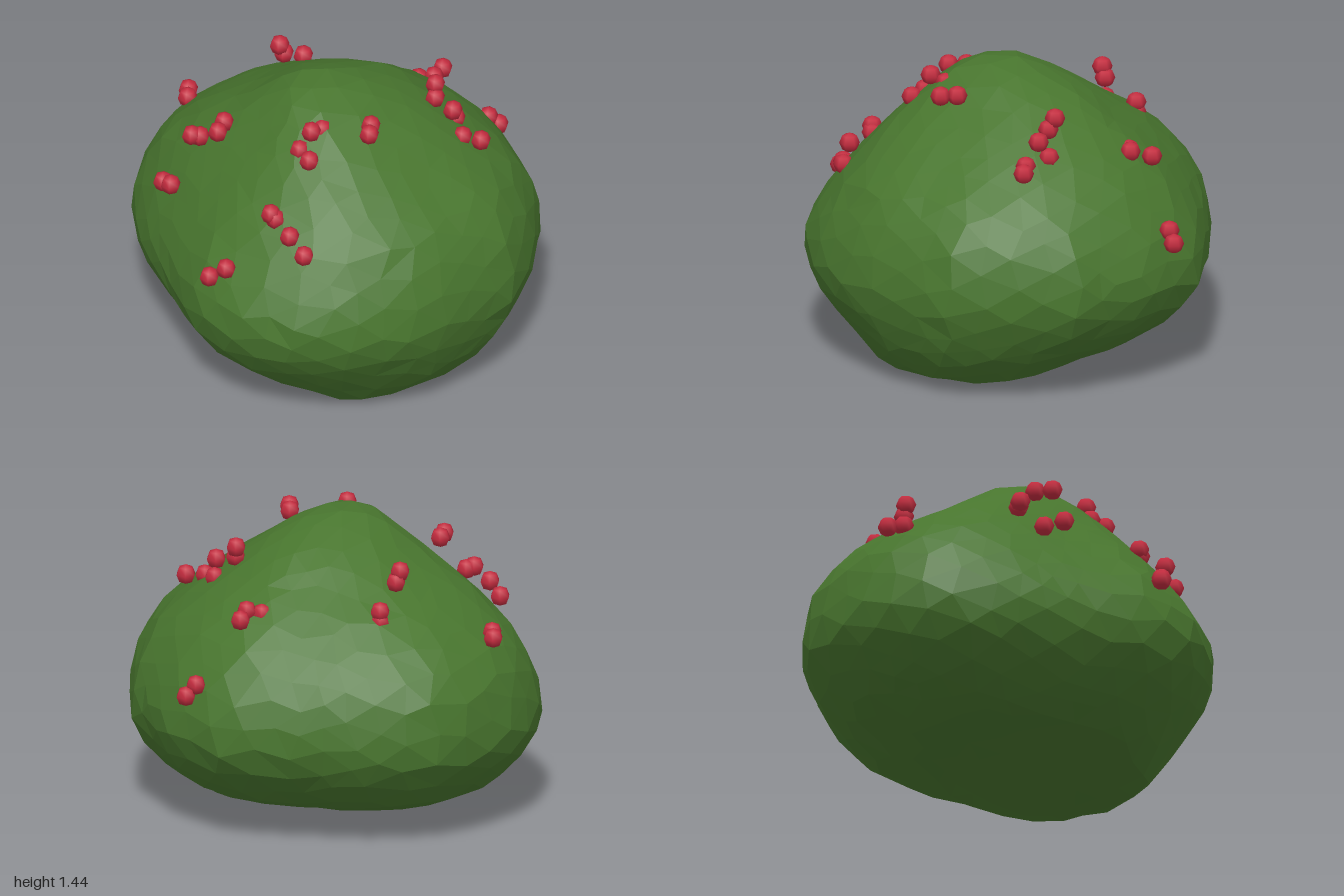
import * as THREE from 'three';

const { lerp, smoothstep, clamp } = THREE.MathUtils;

// Body levels from bottom to top: y, xMin, xMax, zMin, zMax
const LEVELS = [
  [0.08, -0.07, -0.07, 0.08, 0.08],
  [0.085, -0.63, 0.46, -0.56, 0.74],
  [0.2, -0.8, 0.725, -0.8, 0.89],
  [0.35, -0.93, 0.9, -0.935, 0.96],
  [0.48, -0.975, 0.975, -1, 1],
  [0.6, -0.975, 0.985, -0.99, 1],
  [0.77, -0.885, 0.925, -0.96, 0.955],
  [0.93, -0.76, 0.815, -0.85, 0.86],
  [1.08, -0.62, 0.67, -0.66, 0.67],
  [1.2, -0.51, 0.5, -0.46, 0.51],
  [1.3, -0.41, 0.37, -0.31, 0.36],
  [1.38, -0.32, 0.18, -0.2, 0.25],
  [1.428, -0.24, 0.05, -0.11, 0.15],
  [1.45, -0.05, -0.05, 0, 0],
];

// Plan outline as x, z corners, from +x towards +z
const PLAN = [
  [0.97, 0.05], [0.9, 0.37], [0.68, 0.71], [0.38, 0.91], [0.12, 0.995], [-0.3, 0.94], [-0.52, 0.86],
  [-0.76, 0.68], [-0.9, 0.47], [-0.98, 0.24], [-0.97, -0.03], [-0.75, -0.43], [-0.61, -0.68],
  [-0.47, -0.85], [-0.25, -0.975], [0.02, -1], [0.3, -0.945], [0.47, -0.86], [0.59, -0.74],
  [0.7, -0.58], [0.84, -0.3], [0.96, -0.02],
];

// Berry centres
const BERRIES = [
  [0.365, 1.305, 0.33], [0.34, 1.25, 0.35], [0.345, 1.22, 0.455], [0.39, 1.145, 0.435], [0.32, 1.12, 0.535], [0.355, 1.115, 0.62],
  [0.6, 1.095, 0.03], [0.64, 1.11, 0.09], [0.74, 1.095, 0.06],
  [0.91, 0.795, 0.2], [0.95, 0.745, 0.23],
  [-0.95, 0.755, 0.04], [-0.9, 0.8, 0.1],
  [-0.69, 1.045, 0.2], [-0.68, 1.02, 0.22],
  [-0.73, 1.0, 0.35], [-0.72, 0.92, 0.43],
  [-0.43, 1.26, 0.16], [-0.455, 1.245, 0.24], [-0.38, 1.35, 0.19], [-0.3, 1.325, 0.19],
  [-0.21, 1.34, 0.405], [-0.145, 1.34, 0.36],
  [-0.53, 1.235, -0.26], [-0.45, 1.24, -0.29],
  [-0.49, 1.115, -0.455], [-0.46, 1.105, -0.43],
  [0.18, 1.28, -0.475], [0.2, 1.23, -0.465],
  [0.36, 1.13, -0.48], [0.36, 1.08, -0.48],
  [-0.08, 0.97, -0.825], [-0.02, 0.965, -0.87],
  [-0.66, 0.925, -0.49], [-0.71, 0.97, -0.4],
];

// Arc length up the average profile, scaled to 0..1
function profileLengths() {
  const s = [0];
  const radius = (l) => (l[2] - l[1] + l[4] - l[3]) / 4;
  for (let i = 1; i < LEVELS.length; i++) {
    const a = LEVELS[i - 1], b = LEVELS[i];
    s.push(s[i - 1] + Math.hypot(b[0] - a[0], radius(b) - radius(a)));
  }
  return s.map((v) => v / s[s.length - 1]);
}

// Distance from the centre to the plan outline in direction c, s
function planRadius(c, s) {
  for (let i = 0; i < PLAN.length; i++) {
    const a = PLAN[i], b = PLAN[(i + 1) % PLAN.length];
    if (a[0] * s - a[1] * c >= 0 && c * b[1] - s * b[0] > 0) {
      return (a[0] * b[1] - a[1] * b[0]) / (c * (b[1] - a[1]) - s * (b[0] - a[0]));
    }
  }
  return 1;
}

// How far each corner of the plan swells (or shrinks) at height h
function cornerSwell(c, s, h) {
  const upper = s > 0 ? (c > 0 ? 0.03 : 0.06) : (c > 0 ? -0.02 : 0.07);
  const lower = s > 0 && c < 0 ? -0.05 : 0;
  const amount = upper * smoothstep(h, 0.8, 1.15) + lower * (1 - smoothstep(h, 0.1, 0.5));
  return 1 + amount * (2 * s * c) ** 2;
}

// The underside sags to the ground in a broad lump near the front
function sag(x, z, h) {
  const dx = (x - clamp(x, -0.42, 0.12)) / 0.38;
  const dz = (z - 0.47) / 0.55;
  return 0.084 * Math.max(0, 1 - Math.hypot(dx, dz)) * (1 - smoothstep(h, 0.085, 0.25));
}

// Faceted sphere reshaped to the levels and plan outline
function bodyGeometry() {
  const geo = new THREE.IcosahedronGeometry(1, 6);
  const pos = geo.attributes.position;
  const lengths = profileLengths();
  const d = new THREE.Vector3();
  for (let v = 0; v < pos.count; v++) {
    d.fromBufferAttribute(pos, v);
    // slight irregularity of the facets
    const { x, y, z } = d;
    d.x += 0.03 * Math.sin(17 * y + 9 * z);
    d.y += 0.03 * Math.sin(15 * z + 11 * x);
    d.z += 0.03 * Math.sin(16 * x + 10 * y);
    d.normalize();

    const u = Math.acos(clamp(-d.y, -1, 1)) / Math.PI;
    let i = 0;
    while (i < lengths.length - 2 && lengths[i + 1] < u) i++;
    const f = (u - lengths[i]) / (lengths[i + 1] - lengths[i]);
    const [h, x0, x1, z0, z1] = LEVELS[i].map((a, k) => lerp(a, LEVELS[i + 1][k], f));

    const angle = Math.atan2(d.z, d.x);
    const c = Math.cos(angle), s = Math.sin(angle);
    const r = 1.008 * planRadius(c, s) * cornerSwell(c, s, h);
    const px = (x0 + x1) / 2 + ((x1 - x0) / 2) * r * c / 0.975;
    const pz = (z0 + z1) / 2 + ((z1 - z0) / 2) * r * s;
    pos.setXYZ(v, px, h - sag(px, pz, h), pz);
  }
  geo.computeVertexNormals();
  return geo;
}

export function createModel() {
  const leafGreen = new THREE.MeshStandardMaterial({ color: 0x48752e, flatShading: true });
  leafGreen.name = 'leafGreen';
  const berryRed = new THREE.MeshStandardMaterial({ color: 0xc42c3f });
  berryRed.name = 'berryRed';

  const model = new THREE.Group();
  model.name = 'berryBush';

  const body = new THREE.Mesh(bodyGeometry(), leafGreen);
  body.name = 'bushBody';
  model.add(body);

  // Berries: small six-sided balls with soft shading
  const berries = new THREE.Group();
  berries.name = 'berries';
  const berryGeo = new THREE.SphereGeometry(0.049, 6, 4).rotateY(Math.PI / 6);
  for (const p of BERRIES) {
    const berry = new THREE.Mesh(berryGeo, berryRed);
    berry.name = 'berry';
    berry.position.set(...p);
    berries.add(berry);
  }
  model.add(berries);
  return model;
}
